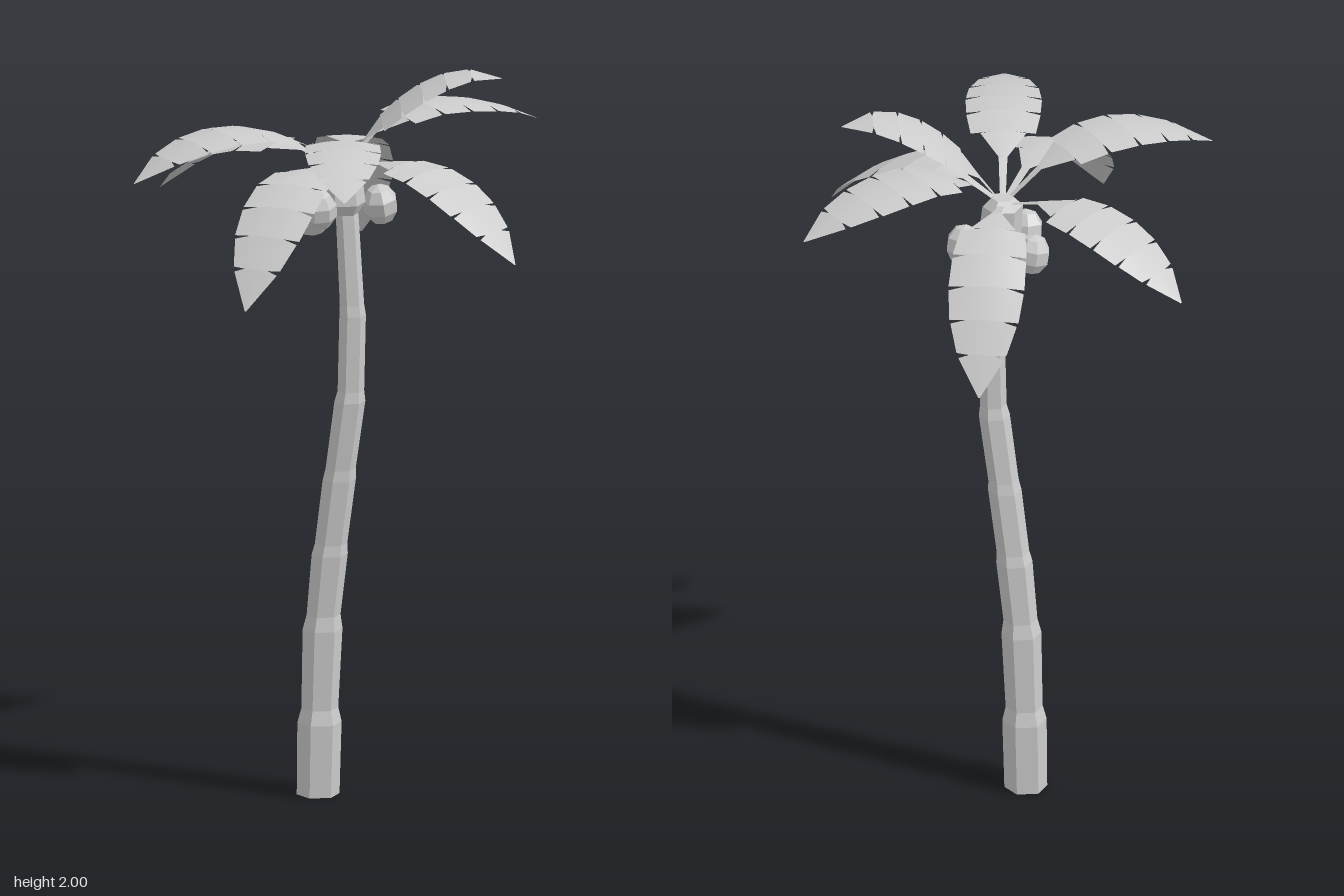
import * as THREE from 'three';

const material = new THREE.MeshStandardMaterial({ color: 0xcccccc, flatShading: true });
const leafMaterial = new THREE.MeshStandardMaterial({ color: 0xcccccc, side: THREE.DoubleSide });
const CROWN = new THREE.Vector3(0, 1.74, -0.065);

// Six-sided stalk whose rows follow rings of [y, x, radius], listed from the top down
function stalk(name, rings) {
  const n = rings.length - 1;
  const geometry = new THREE.CylinderGeometry(1, 1, 1, 6, n);
  const pos = geometry.attributes.position;
  for (let i = 0; i < pos.count; i++) {
    const [y, x, r] = rings[Math.round((0.5 - pos.getY(i)) * n)];
    pos.setXYZ(i, pos.getX(i) * r + x, y, pos.getZ(i) * r + CROWN.z);
  }
  geometry.computeVertexNormals();
  const mesh = new THREE.Mesh(geometry, material);
  mesh.name = name;
  return mesh;
}

// Leaf lobes: [start, end, half width at start, half width at end] along the leaf
const LOBES = [
  [0, 0.2, 0.007, 0.012],
  [0.2, 0.32, 0.012, 0.062],
  [0.325, 0.44, 0.088, 0.1],
  [0.455, 0.57, 0.1, 0.103],
  [0.585, 0.7, 0.102, 0.094],
  [0.715, 0.83, 0.09, 0.068],
  [0.85, 1, 0.062, 0.002],
];

// Arched leaf with slits between its lobes
function leaf(tip, peakY, peakAt) {
  const points = [];
  for (let i = 0; i <= 10; i++) {
    const f = i / 10;
    const p = CROWN.clone().lerp(tip, f);
    p.y = f < peakAt
      ? peakY - (peakY - CROWN.y) * ((peakAt - f) / peakAt) ** 2
      : peakY - (peakY - tip.y) * ((f - peakAt) / (1 - peakAt)) ** 2;
    points.push(p);
  }
  const curve = new THREE.CatmullRomCurve3(points);
  const across = new THREE.Vector3(tip.z - CROWN.z, 0, CROWN.x - tip.x).normalize();
  const vertices = [], index = [];
  const add = (s, v) => {
    const p = curve.getPointAt(s).addScaledVector(across, v);
    vertices.push(p.x, p.y - v * v * 1.2, p.z);
    return vertices.length / 3 - 1;
  };

  LOBES.forEach(([s0, s1, w0, w1], k) => {
    // Lobes meet near the spine and part towards the edge
    const a = k ? (LOBES[k - 1][1] + s0) / 2 : 0;
    const b = k < LOBES.length - 1 ? (s1 + LOBES[k + 1][0]) / 2 : 1;
    const inA = k ? Math.min(w0, LOBES[k - 1][3]) * 0.55 : w0 * 0.55;
    const inB = k < LOBES.length - 1 ? Math.min(w1, LOBES[k + 1][2]) * 0.55 : w1 * 0.55;
    const rows = [[a, 0, 0], [s0, inA, w0], [s1, inB, w1], [b, 0, 0]];
    const c0 = add(rows[0][0], 0), c1 = add(rows[3][0], 0);
    for (const side of [1, -1]) {
      const n0 = add(a, side * inA), n1 = add(b, side * inB);
      const e0 = add(s0, side * w0), e1 = add(s1, side * w1);
      const quads = [[c0, n0, n1, c1], [n0, e0, e1, n1]];
      for (const [p, q, r, t] of quads) {
        if (side > 0) index.push(p, q, r, p, r, t);
        else index.push(p, r, q, p, t, r);
      }
    }
  });

  const geometry = new THREE.BufferGeometry();
  geometry.setAttribute('position', new THREE.Float32BufferAttribute(vertices, 3));
  geometry.setIndex(index);
  geometry.computeVertexNormals();
  const mesh = new THREE.Mesh(geometry, leafMaterial);
  mesh.name = 'leaf';
  return mesh;
}

export function createModel() {
  const palm = new THREE.Group();
  palm.name = 'palmTree';

  // Leaning trunk with a slight swelling at each joint
  palm.add(stalk('trunk', [
    [1.7, 0.008, 0.03], [1.6, 0.018, 0.031], [1.37, 0.031, 0.033], [1.34, 0.033, 0.036],
    [1.13, 0.028, 0.036], [1.1, 0.025, 0.042], [0.91, -0.002, 0.041], [0.88, -0.006, 0.045],
    [0.7, -0.03, 0.044], [0.67, -0.034, 0.049], [0.5, -0.052, 0.046], [0.46, -0.055, 0.054],
    [0.24, -0.063, 0.05], [0.2, -0.064, 0.06], [0, -0.068, 0.058],
  ]));

  // Bud that holds the leaves
  palm.add(stalk('crownBud', [
    [1.76, 0, 0.03], [1.735, 0, 0.055], [1.65, 0.008, 0.058], [1.62, 0.012, 0.035],
  ]));

  // Coconuts hanging under the crown
  const nuts = [[-0.085, 1.605, -0.06], [0.082, 1.635, -0.14], [-0.035, 1.64, 0.005]];
  nuts.forEach(([x, y, z], i) => {
    const nut = new THREE.Mesh(new THREE.SphereGeometry(0.05, 7, 5), material);
    nut.name = 'coconut';
    nut.position.set(x, y, z);
    nut.rotation.set(0.15, i * 1.3, 0.1);
    nut.scale.y = 1.15;
    palm.add(nut);
  });

  // Leaves: tip x, y, z, then the height of the arch and where it peaks
  const leaves = [
    [0.575, 1.57, 0.09, 1.79, 0.38],
    [-0.575, 1.61, -0.17, 1.79, 0.38],
    [0, 1.5, 0.59, 1.79, 0.4],
    [0.26, 1.81, 0.52, 1.89, 0.47],
    [-0.39, 1.78, 0.44, 1.89, 0.52],
    [-0.165, 1.43, -0.585, 1.785, 0.33],
    [0.35, 1.795, -0.59, 1.89, 0.45],
    [0.385, 1.985, -0.265, 2.0, 0.82],
  ];
  for (const [x, y, z, peakY, peakAt] of leaves) {
    palm.add(leaf(new THREE.Vector3(x, y, z), peakY, peakAt));
  }
  return palm;
}
